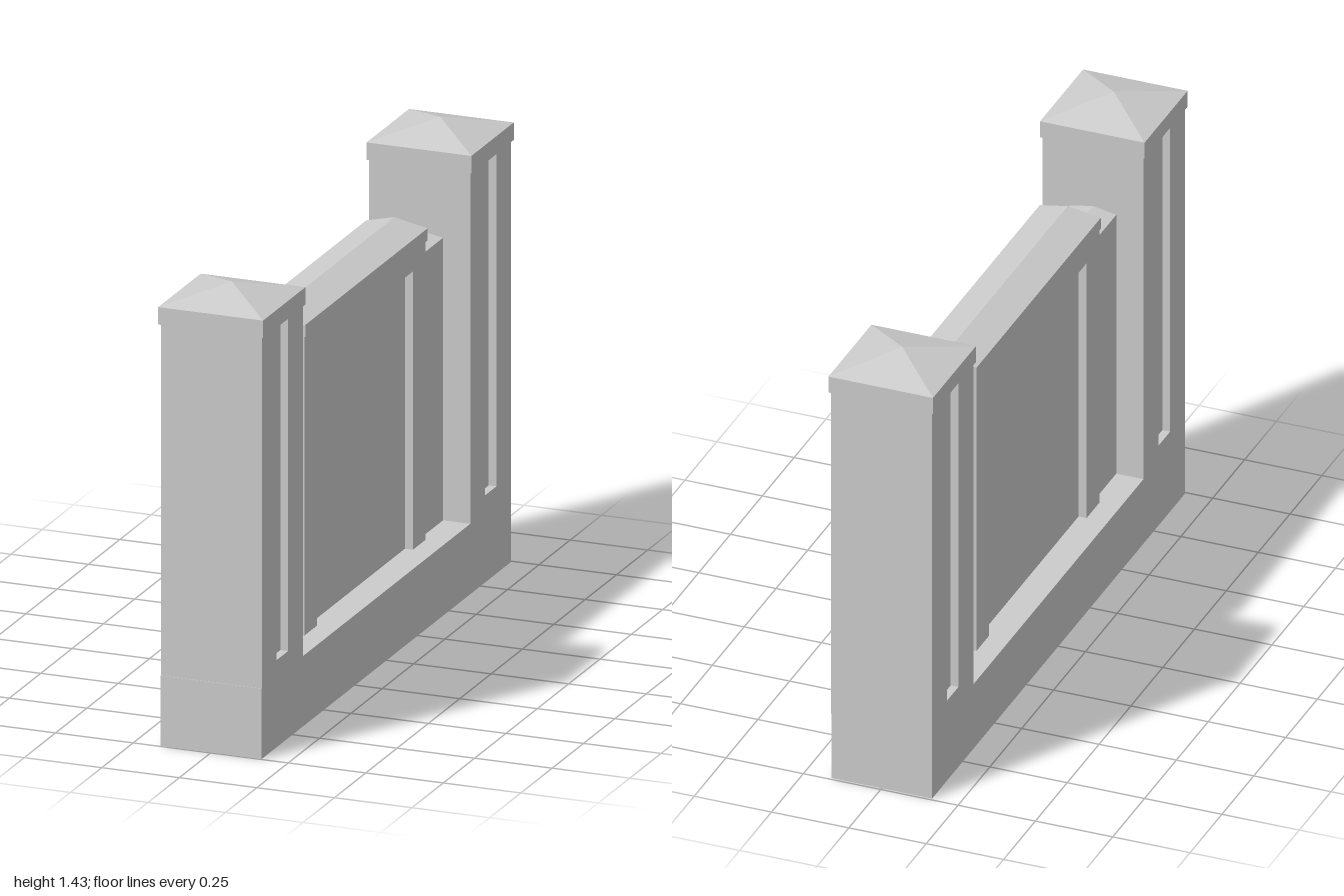
import * as THREE from 'three';
import { ConvexGeometry } from 'three/addons/geometries/ConvexGeometry.js';

const material = new THREE.MeshStandardMaterial({ color: 0xcccccc, flatShading: true });
const shellMaterial = new THREE.MeshStandardMaterial({ color: 0xcccccc, flatShading: true, side: THREE.DoubleSide });

const BASE_TOP = 0.222;
const HALF_DEPTH = 0.163;

function add(parent, name, geometry, z = 0, mat = material) {
  const mesh = new THREE.Mesh(geometry, mat);
  mesh.name = name;
  mesh.position.z = z;
  parent.add(mesh);
  return mesh;
}

// Block from y0 to y1, centred in x and z
function block(halfX, halfZ, y0, y1) {
  return new THREE.BoxGeometry(halfX * 2, y1 - y0, halfZ * 2).translate(0, (y0 + y1) / 2, 0);
}

// Outline in the z-y plane, extruded across x
function slab(shape, halfX) {
  return new THREE.ExtrudeGeometry(shape, { depth: halfX * 2, bevelEnabled: false })
    .translate(0, 0, -halfX)
    .rotateY(Math.PI / 2);
}

function rectangle(Type, halfWidth, y0, y1) {
  return new Type([[-halfWidth, y0], [halfWidth, y0], [halfWidth, y1], [-halfWidth, y1]]
    .map(([a, b]) => new THREE.Vector2(a, b)));
}

// Straight fascia with a hipped or gabled top; ridge is half the ridge length
function roof(halfX, halfZ, ridge, y0, eave, peak) {
  const points = [];
  for (const z of [-1, 1]) {
    for (const x of [-1, 1]) {
      points.push(new THREE.Vector3(x * halfX, y0, z * halfZ), new THREE.Vector3(x * halfX, eave, z * halfZ));
    }
    if (ridge > 0) points.push(new THREE.Vector3(0, peak, z * ridge));
  }
  if (ridge === 0) points.push(new THREE.Vector3(0, peak, 0));
  return new ConvexGeometry(points);
}

function createPillar() {
  const pillar = new THREE.Group();
  // Shaft with a tall slot on both broad sides
  const outline = rectangle(THREE.Shape, 0.163, BASE_TOP, 1.34);
  outline.holes.push(rectangle(THREE.Path, 0.046, 0.275, 1.323));
  add(pillar, 'pillarShaft', slab(outline, HALF_DEPTH));
  add(pillar, 'pillarSlotBack', block(0.138, 0.046, 0.275, 1.323));
  // Pyramid cap
  add(pillar, 'pillarCap', roof(0.169, 0.169, 0, 1.33, 1.385, 1.435));
  return pillar;
}

export function createModel() {
  const wall = new THREE.Group();
  wall.name = 'gardenWall';

  // Hollow plinth, open underneath
  const plinth = block(HALF_DEPTH, 0.994, 0, BASE_TOP);
  const index = Array.from(plinth.index.array);
  index.splice(18, 6);
  plinth.setIndex(index);
  plinth.clearGroups();
  add(wall, 'plinth', plinth, 0.002, shellMaterial);

  // End pillars and the low wings beside them
  for (const side of [-1, 1]) {
    const pillar = createPillar();
    pillar.name = side > 0 ? 'frontPillar' : 'backPillar';
    pillar.position.z = side * 0.831;
    wall.add(pillar);
    add(wall, side > 0 ? 'frontWing' : 'backWing',
      roof(0.075, 0.1, 0.1, BASE_TOP, 1.113, 1.127), side * 0.572 + 0.003);
  }

  // Centre section: an upside-down U framing a recessed panel
  const frame = new THREE.Shape([
    [-0.482, BASE_TOP], [-0.383, BASE_TOP], [-0.383, 1.1], [0.383, 1.1],
    [0.383, BASE_TOP], [0.482, BASE_TOP], [0.482, 1.18], [-0.482, 1.18],
  ].map(([a, b]) => new THREE.Vector2(a, b)));
  add(wall, 'centreFrame', slab(frame, 0.095), 0.004);
  add(wall, 'centrePanel', block(0.069, 0.383, BASE_TOP, 1.1), 0.004);
  add(wall, 'centreCoping', roof(0.099, 0.488, 0.467, 1.165, 1.203, 1.232), 0.002);

  return wall;
}
